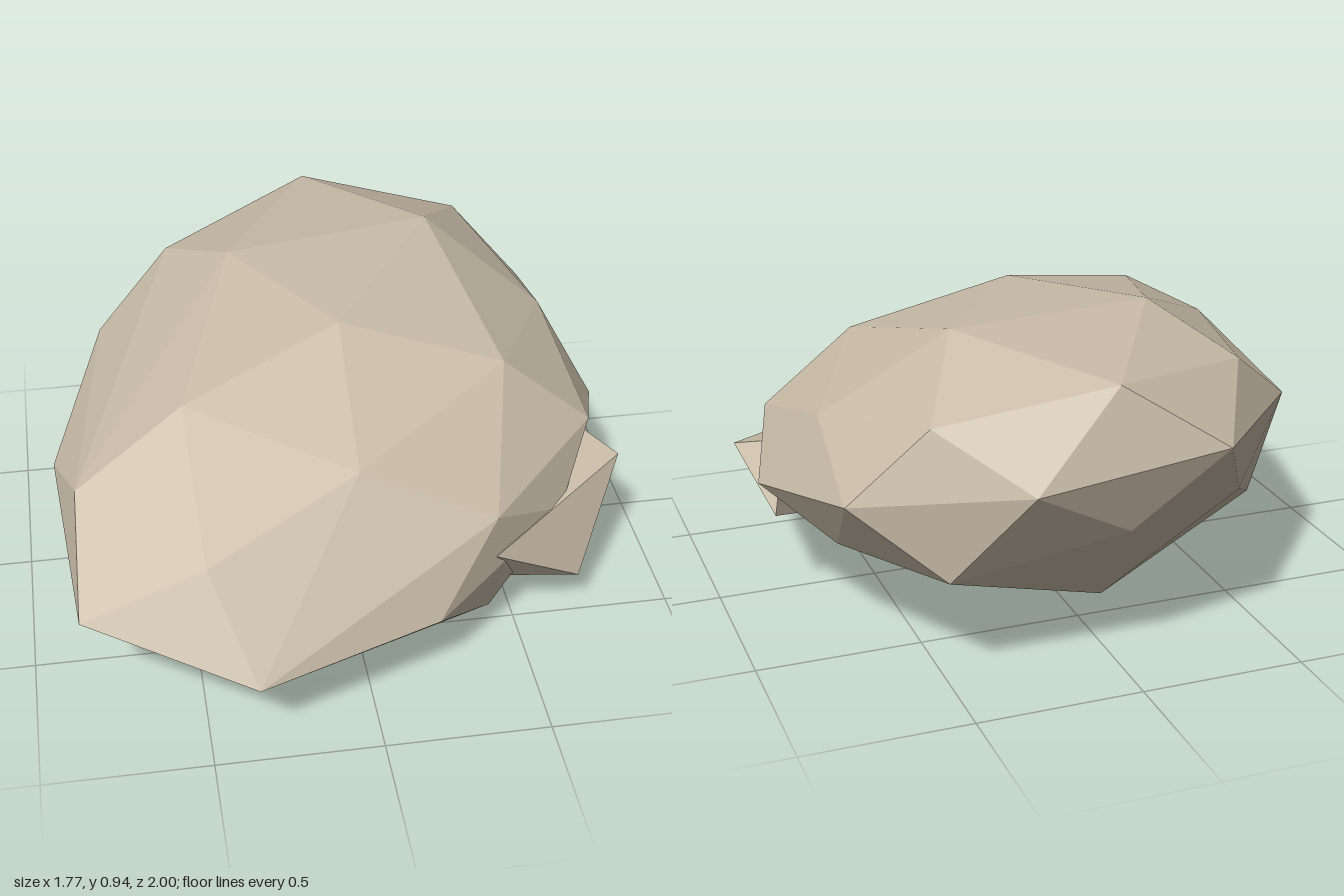
import * as THREE from 'three';
import { ConvexGeometry } from 'three/addons/geometries/ConvexGeometry.js';

// Faceted stone through a handful of corner points
function stone(name, corners, material) {
  const points = corners.map(([x, y, z]) => new THREE.Vector3(x, y, z));
  const mesh = new THREE.Mesh(new ConvexGeometry(points), material);
  mesh.name = name;
  return mesh;
}

export function createModel() {
  const group = new THREE.Group();
  group.name = 'rock';
  const stoneMat = new THREE.MeshStandardMaterial({ color: 0xc9bca8 });
  stoneMat.name = 'warm grey stone';

  // Crown: the upper corners
  const crown = [
    [0.37, 0.94, -0.42], [-0.29, 0.93, -0.31], [0, 0.91, 0.12], [0.03, 0.88, -0.87],
    [-0.47, 0.805, -0.58], [0.54, 0.78, -0.76], [0.5, 0.77, 0.2], [-0.5, 0.8, 0.33],
    [-0.01, 0.68, 0.57], [0.73, 0.67, -0.27],
  ];
  // Girdle: the widest corners
  const girdle = [
    [-0.36, 0.27, 1], [0.2, 0.27, 0.79], [0.4, 0.5, 0.62], [0.78, 0.54, 0.22],
    [0.65, 0.36, 0.43], [0.88, 0.41, -0.1], [0.76, 0.54, -0.66], [0.32, 0.64, -1],
    [-0.29, 0.67, -0.92], [-0.71, 0.61, -0.42], [-0.89, 0.49, 0.14], [-0.83, 0.61, 0.44],
    [-0.85, 0.36, 0.74], [-0.48, 0.54, 0.77],
  ];
  // Underside: the lower corners
  const underside = [
    [0.22, 0, 0.33], [-0.05, 0.02, -0.07], [-0.34, 0.05, 0.4], [-0.55, 0.15, 0.72],
    [0.4, 0.12, 0.57], [0.63, 0.15, 0.1], [0.71, 0.3, -0.37], [0.39, 0.11, -0.24],
    [0, 0.16, -0.68], [0.51, 0.34, -0.82], [0, 0.45, -0.89], [-0.47, 0.4, -0.62],
    [-0.64, 0.26, -0.35], [-0.74, 0.37, -0.15], [-0.76, 0.24, 0.3],
  ];
  group.add(stone('boulder', [...crown, ...girdle, ...underside], stoneMat));

  // Small shard wedged in the side
  group.add(stone('sideShard', [
    [0.88, 0.41, 0.25], [0.4, 0.36, 0.63], [0.7, 0.15, 0.51], [0.75, 0.46, 0.1],
    [0.83, 0.29, -0.09], [0.47, 0.17, 0.5], [0.58, 0.15, 0.22],
  ], stoneMat));

  return group;
}
